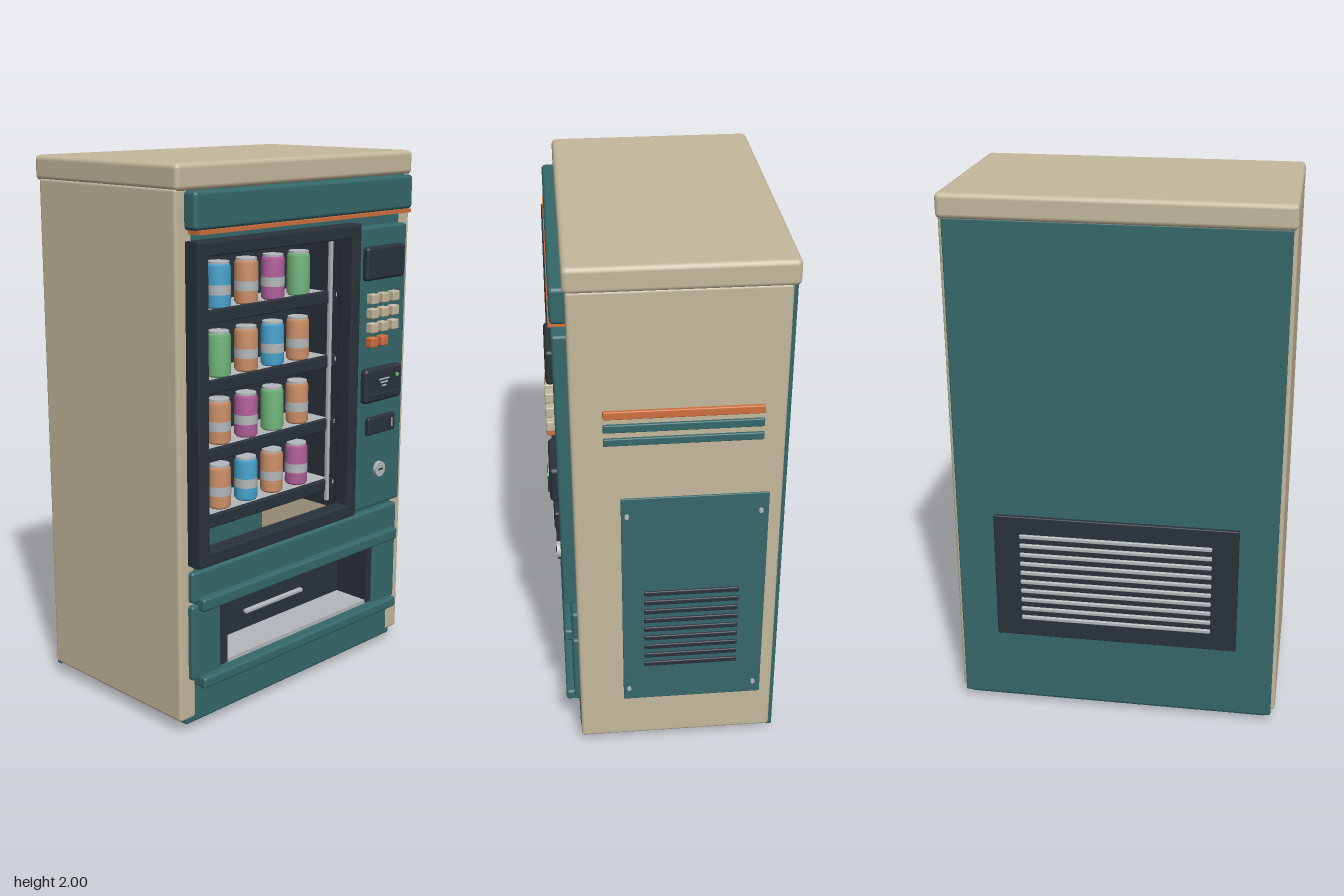
import * as THREE from 'three';
import { RoundedBoxGeometry } from 'three/addons/geometries/RoundedBoxGeometry.js';

const mat = (name, color) => {
  const m = new THREE.MeshStandardMaterial({ color });
  m.name = name;
  return m;
};

export function createModel() {
  const cream = mat('cream', 0xc5b99d), teal = mat('teal', 0x35686b), dark = mat('charcoal', 0x2b323a);
  const orange = mat('orange', 0xd0703f), grey = mat('light grey', 0xb4b8ba);
  const blue = mat('can blue', 0x48a4cf), pink = mat('can pink', 0xb2609b);
  const green = mat('can green', 0x72b87c), peach = mat('can orange', 0xcd9068);
  const root = new THREE.Group();
  root.name = 'vendingMachine';

  const group = (name) => {
    const g = new THREE.Group();
    g.name = name;
    root.add(g);
    return g;
  };
  const add = (parent, name, geo, m, x = 0, y = 0, z = 0) => {
    const mesh = new THREE.Mesh(geo, m);
    mesh.name = name;
    mesh.position.set(x, y, z);
    parent.add(mesh);
    return mesh;
  };
  // Box given by its extents; r > 0 rounds the edges
  const box = (parent, name, m, x0, x1, y0, y1, z0, z1, r = 0) => {
    const w = x1 - x0, h = y1 - y0, d = z1 - z0;
    const geo = r ? new RoundedBoxGeometry(w, h, d, 2, r) : new THREE.BoxGeometry(w, h, d);
    return add(parent, name, geo, m, (x0 + x1) / 2, (y0 + y1) / 2, (z0 + z1) / 2);
  };
  const rectPath = (Type, x0, x1, y0, y1) => new Type([
    [x0, y0], [x1, y0], [x1, y1], [x0, y1]].map(([x, y]) => new THREE.Vector2(x, y)));

  // Cabinet shell
  const cabinet = group('cabinet');
  box(cabinet, 'roof', cream, -0.62, 0.605, 1.91, 2.0, -0.408, 0.347, 0.018);
  box(cabinet, 'rightWall', cream, -0.62, -0.545, 0.045, 1.92, -0.385, 0.338, 0.012);
  box(cabinet, 'leftWall', cream, 0.53, 0.602, 0.045, 1.92, -0.385, 0.338, 0.012);
  box(cabinet, 'backPanel', teal, -0.605, 0.587, 0.03, 1.915, -0.4, -0.375, 0.006);
  box(cabinet, 'base', teal, -0.585, 0.565, 0.022, 0.06, -0.395, 0.33, 0.008);
  for (const x of [-0.5, 0.475]) for (const z of [-0.28, 0.23])
    box(cabinet, 'foot', dark, x - 0.058, x + 0.058, 0, 0.03, z - 0.06, z + 0.06, 0.006);

  // Front fascia
  const fascia = group('fascia');
  box(fascia, 'header', teal, -0.58, 0.555, 1.785, 1.912, 0.3, 0.39, 0.014);
  box(fascia, 'headerStrip', orange, -0.565, 0.54, 1.772, 1.786, 0.33, 0.394);
  box(fascia, 'upperPanel', teal, -0.55, 0.535, 1.71, 1.9, 0.31, 0.338);
  box(fascia, 'middlePanel', teal, -0.55, 0.535, 0.5, 0.64, 0.32, 0.338);
  box(fascia, 'lowerBand', teal, -0.577, 0.553, 0.49, 0.605, 0.32, 0.36, 0.012);
  box(fascia, 'upperLedge', teal, -0.55, 0.528, 0.46, 0.508, 0.32, 0.388, 0.01);
  box(fascia, 'lowerLedge', teal, -0.55, 0.528, 0.168, 0.21, 0.31, 0.39, 0.01);
  box(fascia, 'kickPlate', teal, -0.548, 0.532, 0.03, 0.2, 0.3, 0.34, 0.008);
  box(fascia, 'rightCheek', teal, -0.58, -0.44, 0.2, 0.48, 0.31, 0.36, 0.01);
  box(fascia, 'leftCheek', teal, 0.41, 0.55, 0.2, 0.48, 0.31, 0.36, 0.01);

  // Delivery bin
  const bin = group('deliveryBin');
  box(bin, 'rightJamb', dark, -0.442, -0.402, 0.215, 0.45, 0.18, 0.352);
  box(bin, 'leftJamb', dark, 0.38, 0.412, 0.215, 0.45, 0.18, 0.352);
  box(bin, 'binTop', dark, -0.442, 0.412, 0.445, 0.47, 0.18, 0.35);
  box(bin, 'binFloor', grey, -0.402, 0.38, 0.2, 0.225, 0.18, 0.347);
  box(bin, 'flap', dark, -0.402, 0.38, 0.225, 0.445, 0.18, 0.2);
  box(bin, 'flapHandle', grey, -0.17, 0.15, 0.29, 0.306, 0.2, 0.22, 0.005);

  // Display window frame
  const display = group('displayWindow');
  const frame = rectPath(THREE.Shape, -0.574, 0.239, 0.636, 1.744);
  frame.holes.push(rectPath(THREE.Path, -0.536, 0.201, 0.674, 1.706));
  add(display, 'windowFrame', new THREE.ExtrudeGeometry(frame, {
    depth: 0.052, bevelThickness: 0.006, bevelSize: 0.006, bevelSegments: 2,
  }), dark, 0, 0, 0.342);
  box(display, 'liner', dark, -0.548, 0.245, 0.64, 1.74, 0.07, 0.09);
  box(display, 'sideLiner', dark, 0.235, 0.25, 0.64, 1.74, 0.07, 0.34);
  for (const x of [-0.517, 0.178])
    box(display, 'lightTube', grey, x - 0.007, x + 0.007, 0.685, 1.7, 0.3, 0.318, 0.005);

  // Shelves and cans
  const canBody = new THREE.LatheGeometry([[0, 0], [0.037, 0], [0.043, 0.008], [0.043, 0.145], [0.037, 0.158],
    [0, 0.158]].map(([x, y]) => new THREE.Vector2(x, y)), 24);
  const canLid = new THREE.CylinderGeometry(0.038, 0.038, 0.008, 24);
  const canBand = new THREE.CylinderGeometry(0.0437, 0.0437, 0.035, 24, 1, true);
  const rows = [
    [0.77, [green, peach, blue, peach, pink]],
    [1.012, [blue, peach, pink, green, peach]],
    [1.257, [pink, green, peach, blue, peach]],
    [1.502, [peach, blue, peach, pink, green]],
  ];
  for (const [y, colours] of rows) {
    const shelf = group('shelf');
    box(shelf, 'shelfTray', grey, -0.54, 0.235, y - 0.03, y - 0.016, 0.09, 0.295);
    box(shelf, 'shelfLip', dark, -0.54, 0.215, y - 0.047, y, 0.29, 0.308, 0.005);
    colours.forEach((colour, i) => {
      const can = new THREE.Group();
      can.name = 'can';
      can.position.set(-0.445 + i * 0.1375, y - 0.016, 0.215);
      add(can, 'canBody', canBody, colour);
      add(can, 'canLid', canLid, grey, 0, 0.16, 0);
      if (colour !== green) add(can, 'canBand', canBand, grey, 0, 0.066, 0);
      shelf.add(can);
    });
  }

  // Control column
  const control = group('controlColumn');
  box(control, 'controlPanel', teal, 0.247, 0.53, 0.635, 1.732, 0.32, 0.386, 0.01);
  box(control, 'screen', dark, 0.272, 0.496, 1.535, 1.66, 0.37, 0.41, 0.012);
  for (let r = 0; r < 4; r++) for (let c = 0; c < (r < 3 ? 3 : 2); c++) {
    const x = 0.32 + c * 0.061, y = 1.465 - r * 0.055;
    box(control, 'key', r < 3 ? cream : orange, x - 0.02, x + 0.02, y - 0.019, y + 0.019, 0.38, 0.415, 0.005);
  }
  box(control, 'cardReader', dark, 0.275, 0.492, 1.065, 1.198, 0.37, 0.414, 0.014);
  box(control, 'cardSlot', dark, 0.3, 0.465, 1.09, 1.1, 0.41, 0.42, 0.003);
  [0.03, 0.021, 0.012].forEach((w, i) =>
    box(control, 'readerMark', grey, 0.38 - w, 0.38 + w, 1.15 - i * 0.013, 1.156 - i * 0.013, 0.412, 0.417));
  const disc = (parent, name, m, r, d, x, y, z) =>
    add(parent, name, new THREE.CylinderGeometry(r, r, d, 24), m, x, y, z).rotateX(Math.PI / 2);
  disc(control, 'readerLight', green, 0.008, 0.008, 0.457, 1.158, 0.415);
  box(control, 'coinReturn', dark, 0.308, 0.472, 0.934, 1.003, 0.37, 0.404, 0.008);
  box(control, 'coinSlot', grey, 0.445, 0.45, 0.95, 0.985, 0.4, 0.407);
  disc(control, 'lock', grey, 0.03, 0.02, 0.392, 0.786, 0.39);
  box(control, 'keyhole', dark, 0.38, 0.404, 0.783, 0.789, 0.398, 0.403);

  // Left side stripes and service panel
  const side = group('leftSide');
  box(side, 'stripe', orange, 0.595, 0.614, 1.46, 1.49, -0.31, 0.23, 0.004);
  box(side, 'stripe', teal, 0.595, 0.612, 1.408, 1.438, -0.31, 0.23, 0.004);
  box(side, 'stripe', teal, 0.595, 0.612, 1.357, 1.385, -0.31, 0.23, 0.004);
  box(side, 'servicePanel', teal, 0.595, 0.608, 0.228, 1.14, -0.34, 0.175, 0.003);
  for (let i = 0; i < 9; i++) {
    const y = 0.4 + i * 0.041;
    box(side, 'louver', dark, 0.6, 0.615, y - 0.01, y + 0.01, -0.245, 0.097, 0.004);
  }
  for (const y of [0.283, 1.07]) for (const z of [-0.312, 0.155])
    add(side, 'screw', new THREE.CylinderGeometry(0.008, 0.008, 0.02, 12), grey, 0.608, y, z).rotateZ(Math.PI / 2);

  // Rear vent
  const vent = group('rearVent');
  box(vent, 'ventPlate', dark, -0.465, 0.445, 0.31, 0.81, -0.414, -0.395, 0.004);
  for (let i = 0; i < 10; i++) {
    const y = 0.39 + i * 0.038;
    box(vent, 'ventSlat', grey, -0.368, 0.348, y - 0.008, y + 0.008, -0.422, -0.408, 0.004);
  }
  return root;
}
